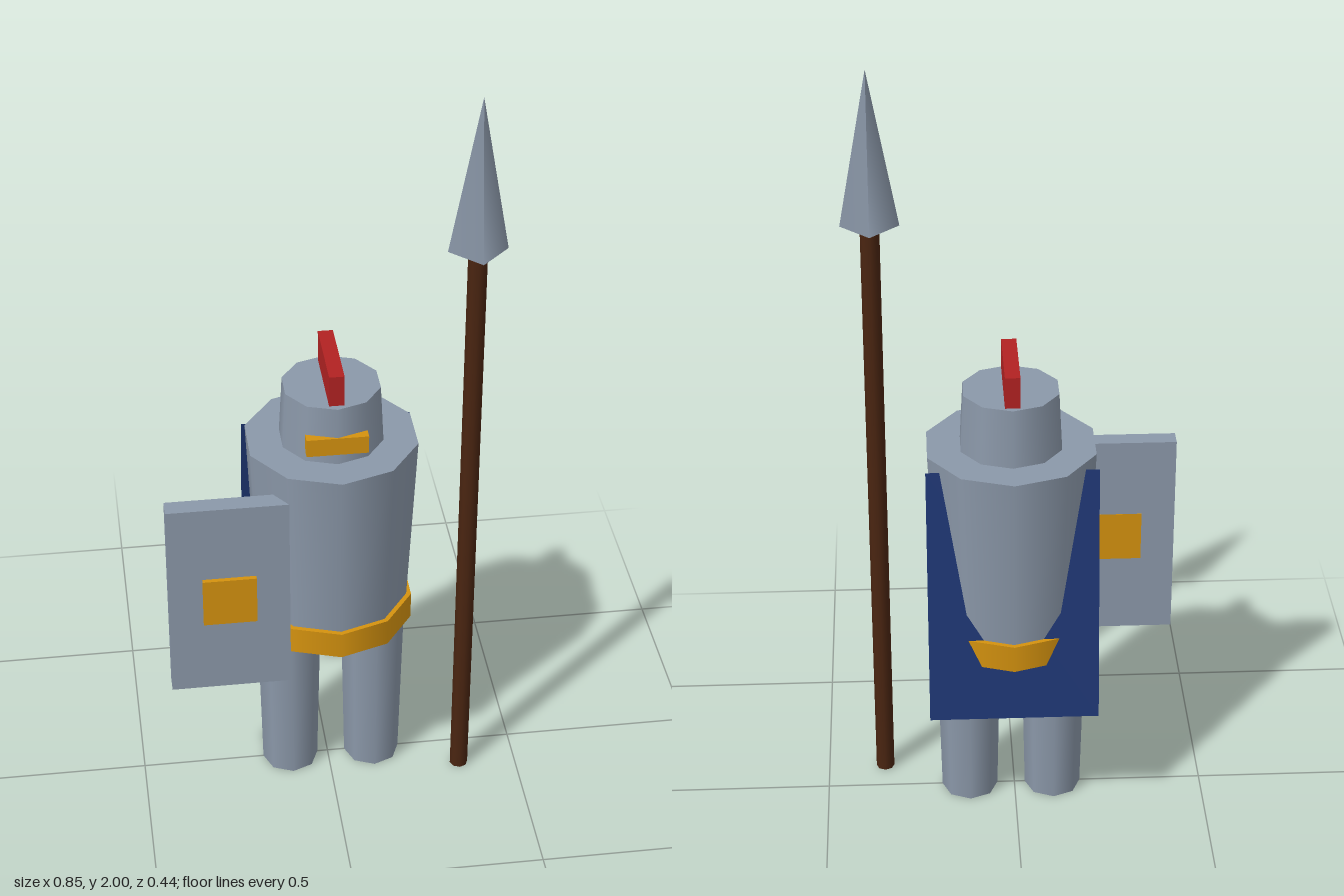
import * as THREE from 'three';

const mat = (name, color) => {
  const m = new THREE.MeshStandardMaterial({ color });
  m.name = name;
  return m;
};

export function createModel() {
  const steel = mat('steel', 0x8b98a9);
  const gold = mat('gold', 0xd4920f);
  const red = mat('red', 0xb22222);
  const wood = mat('wood', 0x4a2511);
  const blue = mat('blue', 0x1e3672);
  blue.side = THREE.DoubleSide;

  const model = new THREE.Group();
  model.name = 'spearGuard';
  const CX = 0.009; // body axis

  const add = (name, geometry, material, x, y, z) => {
    const mesh = new THREE.Mesh(geometry, material);
    mesh.name = name;
    mesh.position.set(x, y, z);
    model.add(mesh);
    return mesh;
  };
  // Upright tapered drum between two heights
  const drum = (name, material, rTop, rBottom, y0, y1, sides, x, z = 0) =>
    add(name, new THREE.CylinderGeometry(rTop, rBottom, y1 - y0, sides), material, x, (y0 + y1) / 2, z);
  // Box given by its extents
  const box = (name, material, [x0, x1], [y0, y1], [z0, z1]) =>
    add(name, new THREE.BoxGeometry(x1 - x0, y1 - y0, z1 - z0), material,
      (x0 + x1) / 2, (y0 + y1) / 2, (z0 + z1) / 2);

  // Body
  for (const [name, side] of [['rightLeg', -1], ['leftLeg', 1]]) {
    drum(name, steel, 0.085, 0.074, 0, 0.52, 8, CX + side * 0.111);
  }
  drum('torso', steel, 0.222, 0.196, 0.5, 1.042, 10, CX);
  drum('belt', gold, 0.212, 0.212, 0.495, 0.568, 10, CX);

  // Helmet
  drum('helmet', steel, 0.125, 0.134, 1.03, 1.197, 10, CX);
  box('visor', gold, [-0.069, 0.086], [1.069, 1.117], [0.1, 0.132]);
  box('crest', red, [-0.01, 0.028], [1.18, 1.28], [-0.11, 0.107]);

  // Cape: a flat sheet leaning outward at the hem
  const top = [1.02, -0.107], hem = [0.35, -0.207];
  const dy = top[0] - hem[0], dz = top[1] - hem[1];
  const cape = add('cape', new THREE.PlaneGeometry(0.433, Math.hypot(dy, dz)), blue,
    CX, (top[0] + hem[0]) / 2, (top[1] + hem[1]) / 2);
  cape.rotation.x = Math.atan2(dz, dy);

  // Shield with a boss running through it
  box('shield', steel, [-0.425, -0.118], [0.406, 0.963], [0.13, 0.178]);
  box('shieldBoss', gold, [-0.339, -0.203], [0.617, 0.752], [0.1292, 0.19]);

  // Spear
  drum('spearShaft', wood, 0.024, 0.024, 0, 1.6, 8, 0.348, 0.092);
  add('spearHead', new THREE.ConeGeometry(0.073, 0.4, 4), steel, 0.348, 1.8, 0.092);

  return model;
}
